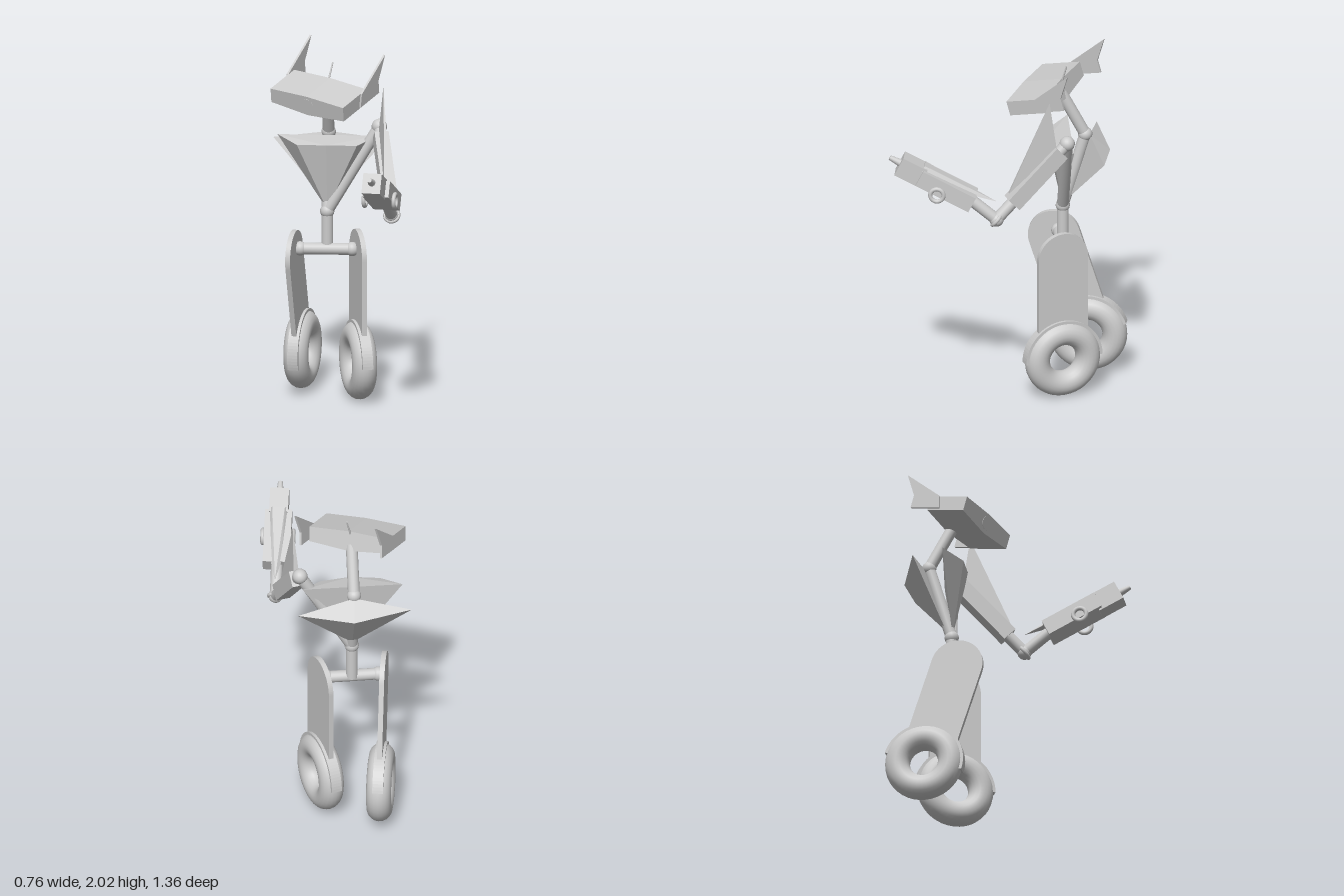
import * as THREE from 'three';
import { ConvexGeometry } from 'three/addons/geometries/ConvexGeometry.js';

const smooth = new THREE.MeshStandardMaterial({ color: 0xcccccc, side: THREE.DoubleSide });
const flat = new THREE.MeshStandardMaterial({ color: 0xcccccc, flatShading: true, side: THREE.DoubleSide });
const V = (a) => new THREE.Vector3(...a);
const rad = THREE.MathUtils.degToRad;

function add(parent, name, geometry, material = smooth, pos = [0, 0, 0]) {
  const mesh = new THREE.Mesh(geometry, material);
  mesh.name = name;
  mesh.position.set(...pos);
  parent.add(mesh);
  return mesh;
}

// Round rod between two points
function rod(parent, name, a, b, r = 0.033, r2 = r) {
  const p = V(a), q = V(b);
  const mesh = add(parent, name, new THREE.CylinderGeometry(r2, r, p.distanceTo(q), 20));
  mesh.position.copy(p).lerp(q, 0.5);
  mesh.quaternion.setFromUnitVectors(V([0, 1, 0]), q.sub(p).normalize());
  return mesh;
}

const ball = (parent, name, p, r = 0.04) => add(parent, name, new THREE.SphereGeometry(r, 20, 14), smooth, p);
const hull = (parent, name, pts) => add(parent, name, new ConvexGeometry(pts.map(V)), flat);

// Flat outline in (forward, up), given thickness across x
function sidePlate(shape, thickness) {
  const g = new THREE.ExtrudeGeometry(shape, { depth: thickness, bevelEnabled: false, curveSegments: 20 });
  return g.translate(0, 0, -thickness / 2).rotateY(-Math.PI / 2);
}

// Leg plate with rounded top, wheel and half-round mudguard
function leg(root, name, hip, length, yaw, pitch) {
  const g = new THREE.Group();
  g.name = name;
  g.position.set(...hip);
  g.rotation.set(rad(pitch), rad(yaw), 0, 'YXZ');
  root.add(g);

  const w = 0.147;
  const plate = new THREE.Shape();
  plate.moveTo(-w, -length + 0.14);
  plate.lineTo(w, -length + 0.14);
  plate.lineTo(w, 0);
  plate.absarc(0, 0, w, 0, Math.PI, false);
  plate.closePath();
  add(g, 'legPlate', sidePlate(plate, 0.028), smooth);

  const tyre = new THREE.TorusGeometry(0.15, 0.07, 20, 40).rotateY(Math.PI / 2);
  add(g, 'wheel', tyre, smooth, [0, -length, 0]);

  const guard = new THREE.Shape();
  guard.absarc(0, 0, 0.228, 0, Math.PI, false);
  guard.absarc(0, 0, 0.205, Math.PI, 0, true);
  guard.closePath();
  add(g, 'mudguard', sidePlate(guard, 0.06), smooth, [0, -length, 0]);
}

function head(root) {
  const g = new THREE.Group();
  g.name = 'head';
  g.position.set(-0.11, 1.765, -0.21);
  g.rotation.set(rad(14), rad(-30), rad(-5.5), 'YXZ');
  root.add(g);

  // Shallow wedge-bottomed slab
  const s = new THREE.Shape();
  [[-0.24, -0.04], [0, -0.062], [0.24, -0.04], [0.24, 0.045], [0, 0.055], [-0.24, 0.045]]
    .forEach(([x, y], i) => (i ? s.lineTo(x, y) : s.moveTo(x, y)));
  s.closePath();
  const slab = new THREE.ExtrudeGeometry(s, { depth: 0.24, bevelEnabled: false }).translate(0, 0, -0.12);
  add(g, 'skull', slab, flat);
  add(g, 'eye', new THREE.CylinderGeometry(0.04, 0.04, 0.02, 24).rotateX(Math.PI / 2), smooth, [0, 0, 0.112]);

  // Ear plates with a swept-back spike
  for (const side of [-1, 1]) {
    const ear = new THREE.Shape();
    [[-0.04, -0.03], [-0.23, -0.03], [-0.23, 0.045], [-0.31, 0.17], [-0.06, 0.045]]
      .forEach(([z, y], i) => (i ? ear.lineTo(z, y) : ear.moveTo(z, y)));
    ear.closePath();
    add(g, side > 0 ? 'leftEar' : 'rightEar', sidePlate(ear, 0.012), flat, [side * 0.244, 0, 0]);
  }
}

function blaster(root) {
  const g = new THREE.Group();
  g.name = 'blaster';
  g.position.set(0.28, 1.353, 0.365);
  g.rotation.set(rad(-27), rad(-8.5), 0, 'YXZ');
  root.add(g);
  add(g, 'body', new THREE.BoxGeometry(0.15, 0.095, 0.33), flat);
  add(g, 'barrelBlock', new THREE.BoxGeometry(0.105, 0.115, 0.15), flat, [0, 0, 0.22]);
  add(g, 'muzzle', new THREE.CylinderGeometry(0.013, 0.022, 0.07, 16).rotateX(Math.PI / 2), smooth, [0, 0.005, 0.325]);
  // Tapered top cover ending in a rear point
  hull(g, 'topCover', [[-0.055, 0.04, 0.17], [0.055, 0.04, 0.17], [-0.035, 0.068, 0.17], [0.035, 0.068, 0.17],
    [-0.03, 0.04, -0.16], [0.03, 0.04, -0.16], [0, 0.057, -0.285]]);
  for (const side of [-1, 1]) {
    add(g, 'sideRing', new THREE.TorusGeometry(0.037, 0.012, 12, 28).rotateY(Math.PI / 2), smooth, [side * 0.085, -0.036, 0.036]);
  }
}

export function createModel() {
  const root = new THREE.Group();
  root.name = 'wheeledRobot';

  leg(root, 'leftLeg', [0.103, 0.833, -0.292], 0.603, 18, 0);
  leg(root, 'rightLeg', [-0.252, 0.826, -0.27], 0.61, -10.5, 18);

  // Hips, waist and spine
  const waist = [-0.07, 1.08, -0.305], neck = [-0.07, 1.505, -0.43];
  const hipL = [0.07, 0.866, -0.295], hipR = [-0.22, 0.866, -0.29];
  rod(root, 'hipBar', hipR, hipL);
  ball(root, 'leftHip', hipL);
  ball(root, 'rightHip', hipR);
  rod(root, 'waistPost', [-0.07, 0.866, -0.305], waist);
  ball(root, 'waistJoint', waist);
  rod(root, 'spine', waist, neck);
  ball(root, 'neckJoint', neck);
  rod(root, 'neckRod', neck, [-0.07, 1.76, -0.295]);

  // Inverted pyramids of the chest and the back
  const apex = [-0.07, 1.09, -0.3];
  hull(root, 'chest', [apex, [-0.35, 1.505, -0.35], [0.21, 1.505, -0.35],
    [-0.235, 1.475, -0.235], [0.1, 1.475, -0.235], [-0.07, 1.48, -0.215]]);
  hull(root, 'backShell', [[-0.07, 1.12, -0.335], [-0.385, 1.445, -0.515], [0.25, 1.445, -0.515],
    [-0.07, 1.5, -0.455], [-0.06, 1.41, -0.568]]);

  // Single raised arm
  const shoulder = [0.22, 1.57, -0.31], elbow = [0.317, 1.165, 0.09];
  rod(root, 'shoulderStrut', waist, shoulder);
  ball(root, 'shoulderJoint', shoulder, 0.043);
  rod(root, 'upperArm', shoulder, elbow);
  ball(root, 'elbowJoint', elbow);
  rod(root, 'forearm', elbow, [0.297, 1.275, 0.225]);
  const cuff = add(root, 'elbowCuff', new THREE.TorusGeometry(0.038, 0.011, 10, 28), smooth, elbow);
  cuff.lookAt(0.297, 1.275, 0.225);

  // Four-sided sleeve around the upper arm, with a tall fin on top
  const a = V(shoulder).lerp(V(elbow), 0.1), b = V(shoulder).lerp(V(elbow), 0.78);
  const sleeve = add(root, 'armSleeve', new THREE.BoxGeometry(0.08, 0.09, a.distanceTo(b)), flat);
  sleeve.position.copy(a).lerp(b, 0.5);
  sleeve.lookAt(b);
  hull(root, 'armFin', [[0.25, 1.83, -0.21], [0.27, 1.31, 0.02], [0.3, 1.31, 0.02],
    [0.22, 1.55, -0.25], [0.25, 1.55, -0.25]]);

  blaster(root);
  head(root);
  rod(root, 'antenna', [-0.068, 1.81, -0.295], [-0.04, 1.93, -0.325], 0.006, 0.004);
  return root;
}
